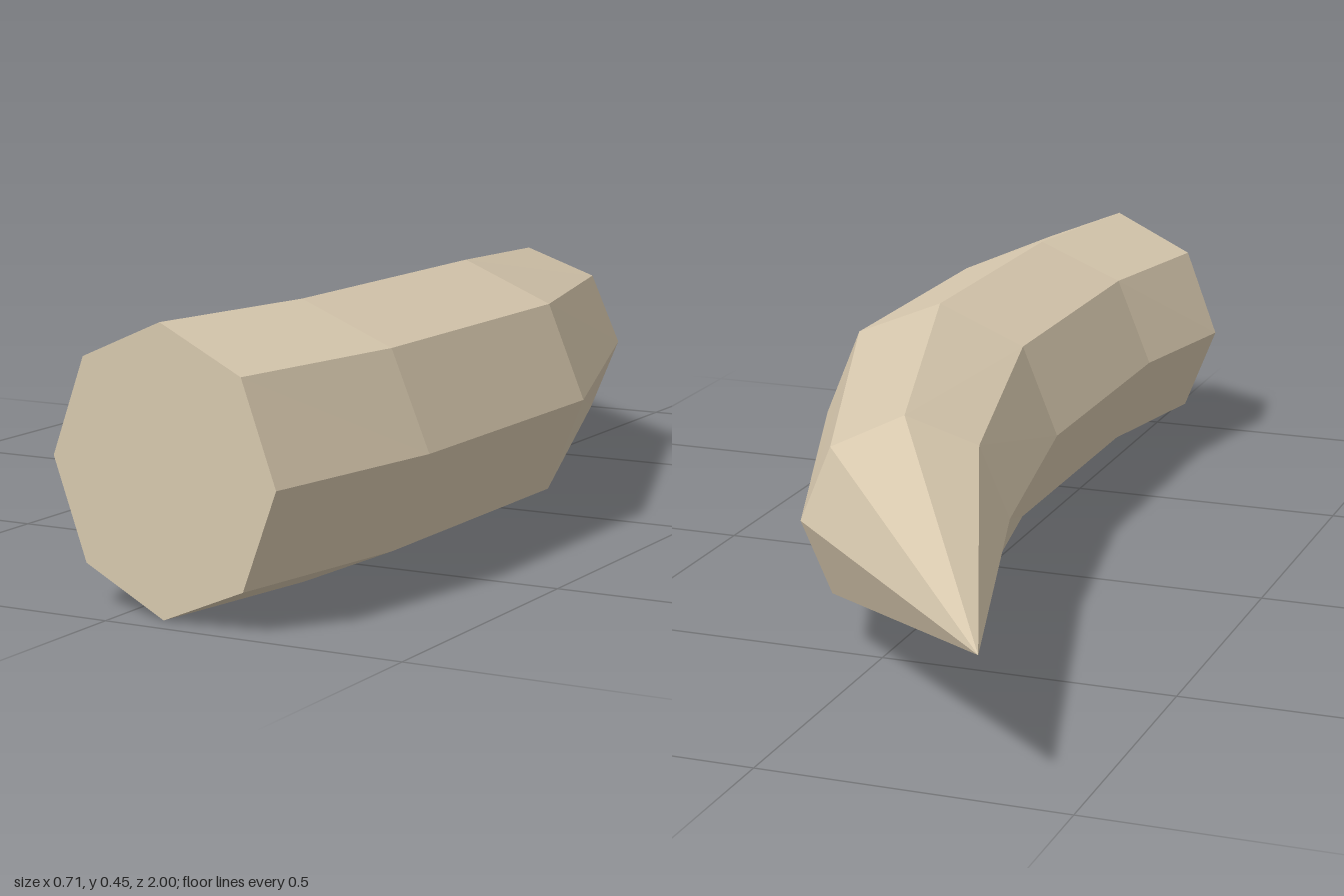
import * as THREE from 'three';

const SIDES = 8;
const MID_Y = 0.224;

// Each ring: centre x, z; half-width vector x, z; vertical radius
const RINGS = [
  [0.075, 0.958, 0.219, 0.038, 0.223],
  [0.131, 0.645, 0.222, 0, 0.223],
  [0.131, 0.1, 0.222, 0, 0.223],
  [-0.022, -0.45, 0.157, -0.064, 0.176],
];
const TIP = [-0.355, MID_Y, -1];

function ringPoint([cx, cz, ux, uz, ry], j) {
  const a = (j / SIDES) * Math.PI * 2;
  return [cx + Math.cos(a) * ux, MID_Y + Math.sin(a) * ry, cz + Math.cos(a) * uz];
}

function facetedMesh(name, triangles, material) {
  const geometry = new THREE.BufferGeometry();
  geometry.setAttribute('position', new THREE.Float32BufferAttribute(triangles.flat(2), 3));
  geometry.computeVertexNormals(); // unshared corners give flat facets
  const mesh = new THREE.Mesh(geometry, material);
  mesh.name = name;
  return mesh;
}

export function createModel() {
  const horn = new THREE.MeshStandardMaterial({ color: 0xd6c7ad });
  horn.name = 'bone';

  const shaft = [], point = [], base = [];
  const first = RINGS[0], last = RINGS[RINGS.length - 1];
  for (let j = 0; j < SIDES; j++) {
    // Bent shaft between neighbouring rings
    for (let i = 0; i < RINGS.length - 1; i++) {
      const a = ringPoint(RINGS[i], j), b = ringPoint(RINGS[i], j + 1);
      const c = ringPoint(RINGS[i + 1], j + 1), d = ringPoint(RINGS[i + 1], j);
      shaft.push([a, d, b], [b, d, c]);
    }
    // Pointed end
    point.push([ringPoint(last, j), TIP, ringPoint(last, j + 1)]);
    // Flat cut end
    base.push([[first[0], MID_Y, first[1]], ringPoint(first, j), ringPoint(first, j + 1)]);
  }

  const model = new THREE.Group();
  model.name = 'curvedHorn';
  model.add(
    facetedMesh('shaft', shaft, horn),
    facetedMesh('pointedTip', point, horn),
    facetedMesh('baseCap', base, horn),
  );
  return model;
}
